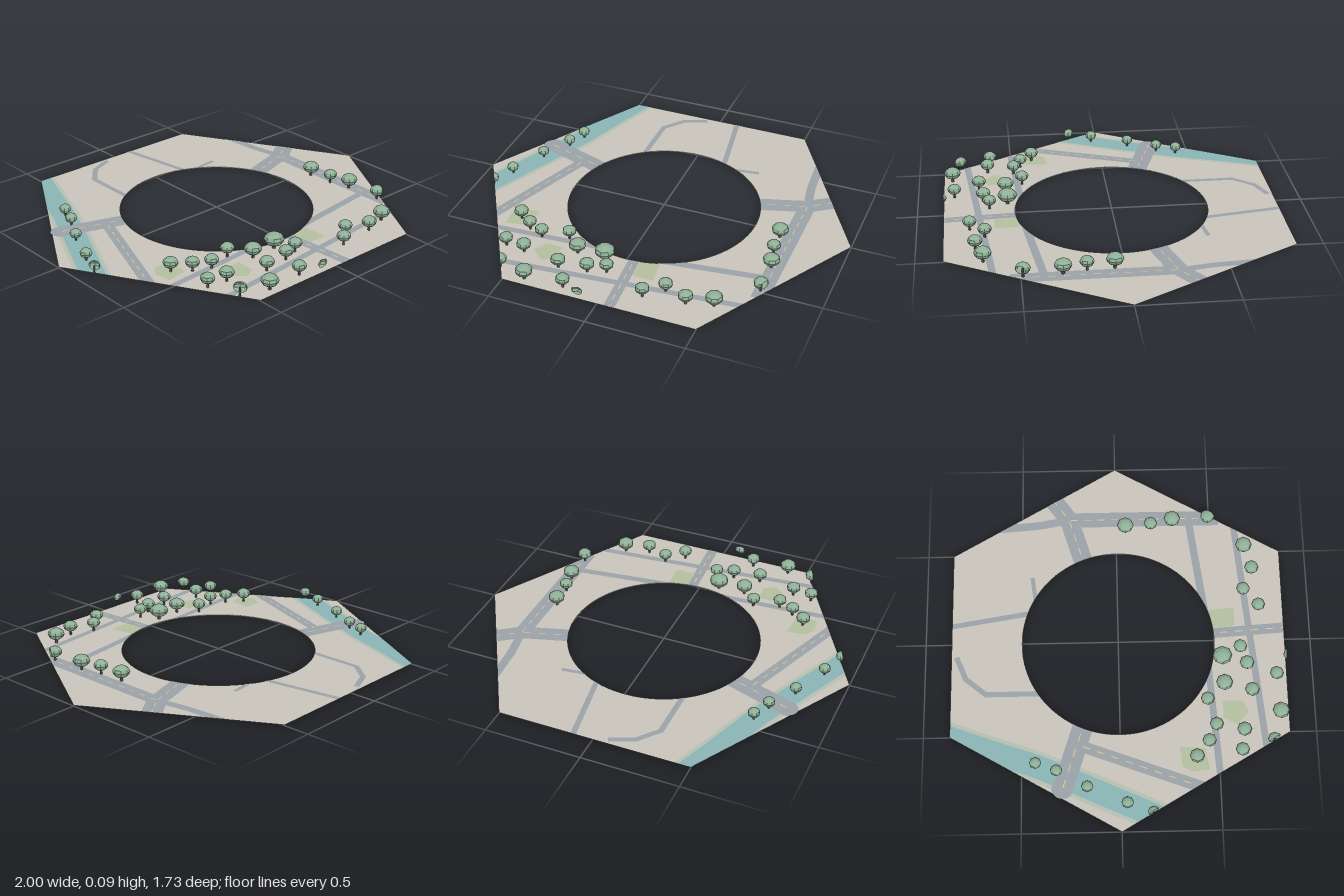
import * as THREE from 'three';

const HOLE = 0.5, GROUND = 0.004, APOTHEM = Math.sqrt(3) / 2;
const mat = (color, flatShading = false) =>
  new THREE.MeshStandardMaterial({ color, flatShading, side: THREE.DoubleSide });
const M = {
  ground: mat(0xc9c5bc), road: mat(0x9aa3a8), river: mat(0x8ab5b5), bank: mat(0xb7beb2),
  lawn: mat(0xb4bfa0), dash: mat(0xd9c795), leaf: mat(0x8fb097, true), trunk: mat(0x6b6a5c, true),
};

// Outward normals of the six tile edges
const SIDES = Array.from({ length: 6 }, (_, i) => {
  const a = Math.PI / 6 + i * Math.PI / 3;
  return new THREE.Vector3(Math.cos(a), 0, Math.sin(a));
});

// Cuts every triangle at the hexagonal tile boundary
function clipToTile(geometry) {
  const pos = (geometry.index ? geometry.toNonIndexed() : geometry).attributes.position;
  const out = [];
  for (let i = 0; i < pos.count; i += 3) {
    let poly = [0, 1, 2].map(k => new THREE.Vector3().fromBufferAttribute(pos, i + k));
    for (const n of SIDES) {
      const next = [];
      poly.forEach((a, k) => {
        const b = poly[(k + 1) % poly.length];
        const da = APOTHEM - a.dot(n), db = APOTHEM - b.dot(n);
        if (da >= 0) next.push(a);
        if (da * db < 0) next.push(a.clone().lerp(b, da / (da - db)));
      });
      poly = next;
    }
    for (let k = 1; k < poly.length - 1; k++)
      for (const v of [poly[0], poly[k], poly[k + 1]]) out.push(v.x, v.y, v.z);
  }
  const g = new THREE.BufferGeometry();
  g.setAttribute('position', new THREE.Float32BufferAttribute(out, 3));
  g.computeVertexNormals();
  return g;
}

// Flat ribbon along [x, z] points; its first end can be cut along the round hole
function ribbon(path, width, y, fromHole = false) {
  const p = path.map(([x, z]) => new THREE.Vector2(x, z)), N = 4, rows = [];
  p.forEach((c, i) => {
    const d0 = p[Math.max(i, 1)].clone().sub(p[Math.max(i, 1) - 1]).normalize();
    const j = Math.min(i + 1, p.length - 1);
    const d1 = p[j].clone().sub(p[j - 1]).normalize();
    const dir = d0.clone().add(d1).normalize();
    const half = width / 2 / Math.max(dir.dot(d1), 0.5);
    const row = [];
    for (let k = 0; k <= N; k++) {
      const s = (k / N * 2 - 1) * half;
      const q = new THREE.Vector2(c.x - dir.y * s, c.y + dir.x * s);
      if (fromHole && i === 0) {
        const b = q.dot(dir);
        q.addScaledVector(dir, -b + Math.sqrt(Math.max(0, b * b - q.lengthSq() + HOLE * HOLE)));
      }
      row.push(q);
    }
    rows.push(row);
  });
  const v = [];
  for (let i = 0; i < rows.length - 1; i++)
    for (let k = 0; k < N; k++) {
      const a = rows[i][k], b = rows[i][k + 1], c = rows[i + 1][k + 1], d = rows[i + 1][k];
      for (const q of [a, b, c, a, c, d]) v.push(q.x, y, q.y);
    }
  const g = new THREE.BufferGeometry();
  g.setAttribute('position', new THREE.Float32BufferAttribute(v, 3));
  return clipToTile(g);
}

// Flat polygon from a shape drawn in x and -z
function flat(shape, y) {
  return new THREE.ShapeGeometry(shape, 64).rotateX(-Math.PI / 2).translate(0, y, 0);
}

export function createModel() {
  const model = new THREE.Group();
  const add = (name, geometry, material, parent = model) => {
    const mesh = new THREE.Mesh(geometry, material);
    mesh.name = name;
    parent.add(mesh);
  };
  const group = name => {
    const g = new THREE.Group();
    g.name = name;
    model.add(g);
    return g;
  };

  // Hexagonal ground with a round opening and a low rim
  const hex = new THREE.Shape(Array.from({ length: 6 }, (_, i) =>
    new THREE.Vector2(Math.cos(i * Math.PI / 3), Math.sin(i * Math.PI / 3))));
  hex.holes.push(new THREE.Path().absarc(0, 0, HOLE, 0, Math.PI * 2, true));
  add('ground', flat(hex, GROUND), M.ground);
  add('holeRim', new THREE.CylinderGeometry(HOLE, HOLE, GROUND, 96, 1, true)
    .translate(0, GROUND / 2, 0), M.ground);

  // River along the left rear edge
  const course = [[-0.47, -0.95], [-0.57, -0.68], [-0.66, -0.42], [-0.77, -0.17], [-0.86, 0.03], [-0.96, 0.25]];
  add('riverBank', ribbon(course, 0.16, GROUND + 0.0006), M.bank);
  add('river', ribbon(course, 0.12, GROUND + 0.0012), M.river);

  // Lawns
  const lawns = [
    [[-0.7, 0.36], [-0.67, 0.31], [-0.57, 0.3], [-0.58, 0.43], [-0.69, 0.45]],
    [[-0.42, 0.53], [-0.33, 0.53], [-0.33, 0.63], [-0.39, 0.66], [-0.46, 0.6]],
    [[0.07, 0.498], [0.17, 0.475], [0.18, 0.61], [0.08, 0.61]],
  ];
  const lawnGroup = group('lawns');
  for (const l of lawns)
    add('lawn', flat(new THREE.Shape(l.map(([x, z]) => new THREE.Vector2(x, -z))), GROUND + 0.0008), M.lawn, lawnGroup);

  // Roads: path, width, starts at the hole, has a dashed centre line
  const roads = [
    [[[-0.46, -0.19], [-0.78, -0.295]], 0.105, true, true],
    [[[-0.55, -0.22], [-0.79, 0.43]], 0.06, false, true],
    [[[-0.17, 0.465], [-0.75, 0.502]], 0.035, true, false],
    [[[-0.62, 0.745], [0.68, 0.628]], 0.035, false, false],
    [[[0.04, 0.5], [0.066, 0.9]], 0.055, true, true],
    [[[0.7, 0.55], [0.7, -0.25]], 0.085, false, true],
    [[[0.7, -0.25], [0.67, -0.42], [0.65, -0.7]], 0.045, false, false],
    [[[0.47, -0.18], [0.7, -0.25], [0.9, -0.39]], 0.1, true, true],
    [[[0.21, 0.45], [0.74, 0.383]], 0.04, true, false],
    [[[-0.275, -0.42], [-0.275, -0.685], [-0.19, -0.79], [-0.07, -0.84]], 0.028, true, false],
    [[[0.165, -0.47], [0.095, -0.9]], 0.028, true, false],
    [[[0.24, -0.43], [0.37, -0.447]], 0.022, true, false],
  ];
  const roadGroup = group('roads'), dashGroup = group('roadMarkings');
  roads.forEach(([path, width, fromHole, dashed], n) => {
    add('road', ribbon(path, width, GROUND + 0.0016 + n * 0.00005, fromHole), M.road, roadGroup);
    if (!dashed) return;
    for (let i = 0; i < path.length - 1; i++) {
      const a = new THREE.Vector2(...path[i]), b = new THREE.Vector2(...path[i + 1]);
      const count = Math.floor(a.distanceTo(b) / 0.07);
      for (let k = 0; k < count; k++) {
        const ends = [(k + 0.4) / count, (k + 0.9) / count].map(t => a.clone().lerp(b, t).toArray());
        add('dash', ribbon(ends, 0.005, GROUND + 0.0028), M.dash, dashGroup);
      }
    }
  });
  add('turningCircle', new THREE.CircleGeometry(0.055, 24).rotateX(-Math.PI / 2)
    .translate(-0.775, GROUND + 0.0015, -0.295), M.road, roadGroup);

  // Trees: x, z, crown radius, crown centre height; cut where they cross the tile edge
  const trees = [
    ...[[-0.65, -0.43], [-0.69, -0.325], [-0.775, -0.17], [-0.86, 0.03], [-0.91, 0.16]].map(t => [...t, 0.031, 0.044]),
    ...[[-0.55, 0.45], [-0.465, 0.49], [-0.33, 0.45], [-0.6, 0.615], [-0.05, 0.63], [0.18, 0.735],
      [0.27, 0.66], [0.655, 0.185], [-0.1, 0.885], [-0.2, 0.81], [-0.55, 0.78]].map(t => [...t, 0.036, 0.053]),
    ...[[-0.63, 0.385], [-0.495, 0.63], [-0.285, 0.68], [-0.14, 0.66], [0.39, 0.71], [0.69, 0.49]].map(t => [...t, 0.038, 0.053]),
    ...[[-0.245, 0.54], [-0.4, 0.82], [0.52, 0.675], [0.68, 0.3], [0.645, 0.05]].map(t => [...t, 0.044, 0.054]),
    [-0.1, 0.535, 0.051, 0.054],
  ];
  trees.forEach(([x, z, r, y]) => {
    const tree = group('tree');
    const crown = new THREE.SphereGeometry(r, 8, 6).scale(1, 0.5 + 0.009 / r, 1).translate(x, y, z);
    const trunk = new THREE.CylinderGeometry(r * 0.13, r * 0.17, y - GROUND, 6).translate(x, (y + GROUND) / 2, z);
    add('crown', clipToTile(crown), M.leaf, tree);
    const cut = clipToTile(trunk);
    if (cut.attributes.position.count) add('trunk', cut, M.trunk, tree);
  });

  return model;
}
